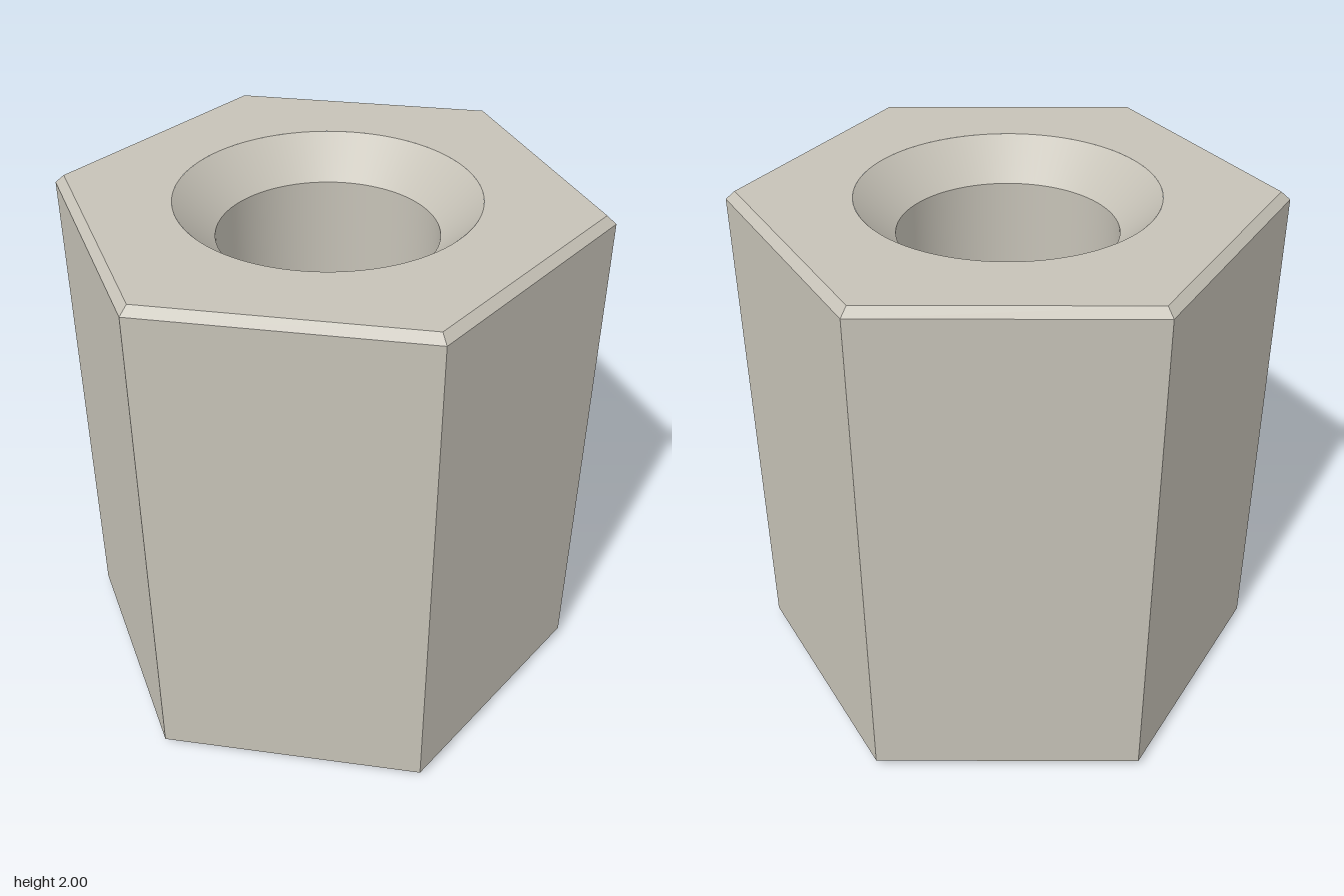
import * as THREE from 'three';

const HEIGHT = 2, RADIUS = 1.007, CHAMFER = 0.03;
const CAP_RADIUS = RADIUS - CHAMFER / Math.cos(Math.PI / 6);
const BORE = 0.405, SINK = 0.55, SINK_DEPTH = 0.145;
const TURN = Math.PI / 15; // first corner, 12 degrees from +x towards +z
const SEGMENTS = 96;

export function createModel() {
  const model = new THREE.Group();
  model.name = 'hexStandoff';
  const metal = new THREE.MeshStandardMaterial({ color: 0xc6c2b7 });
  metal.name = 'warm grey metal';

  const add = (name, geometry) => {
    const mesh = new THREE.Mesh(geometry, metal);
    mesh.name = name;
    model.add(mesh);
  };

  // Six-sided band with flat faces
  const hexBand = (name, y0, r0, y1, r1) => {
    const geometry = new THREE.CylinderGeometry(r1, r0, y1 - y0, 6, 1, true, Math.PI / 2 - TURN)
      .translate(0, (y0 + y1) / 2, 0)
      .toNonIndexed();
    geometry.computeVertexNormals();
    add(name, geometry);
  };
  hexBand('bottomChamfer', 0, CAP_RADIUS, CHAMFER, RADIUS);
  hexBand('hexSides', CHAMFER, RADIUS, HEIGHT - CHAMFER, RADIUS);
  hexBand('topChamfer', HEIGHT - CHAMFER, RADIUS, HEIGHT, CAP_RADIUS);

  // Hexagonal end face with a round opening; side is 1 for top, -1 for bottom
  const endFace = (name, side, y) => {
    const corners = Array.from({ length: 6 }, (_, i) => {
      const a = -side * TURN + i * Math.PI / 3;
      return new THREE.Vector2(Math.cos(a) * CAP_RADIUS, Math.sin(a) * CAP_RADIUS);
    });
    const shape = new THREE.Shape(corners);
    shape.holes.push(new THREE.Path().absarc(0, 0, SINK, 0, Math.PI * 2, true));
    add(name, new THREE.ShapeGeometry(shape, SEGMENTS)
      .rotateX(-side * Math.PI / 2).translate(0, y, 0));
  };
  endFace('topFace', 1, HEIGHT);
  endFace('bottomFace', -1, 0);

  // Through hole, run from top to bottom so the surfaces face the axis
  const holeBand = (name, r0, y0, r1, y1) => add(name, new THREE.LatheGeometry(
    [new THREE.Vector2(r0, y0), new THREE.Vector2(r1, y1)], SEGMENTS));
  holeBand('topCountersink', SINK, HEIGHT, BORE, HEIGHT - SINK_DEPTH);
  holeBand('bore', BORE, HEIGHT - SINK_DEPTH, BORE, SINK_DEPTH);
  holeBand('bottomCountersink', BORE, SINK_DEPTH, SINK, 0);

  return model;
}
